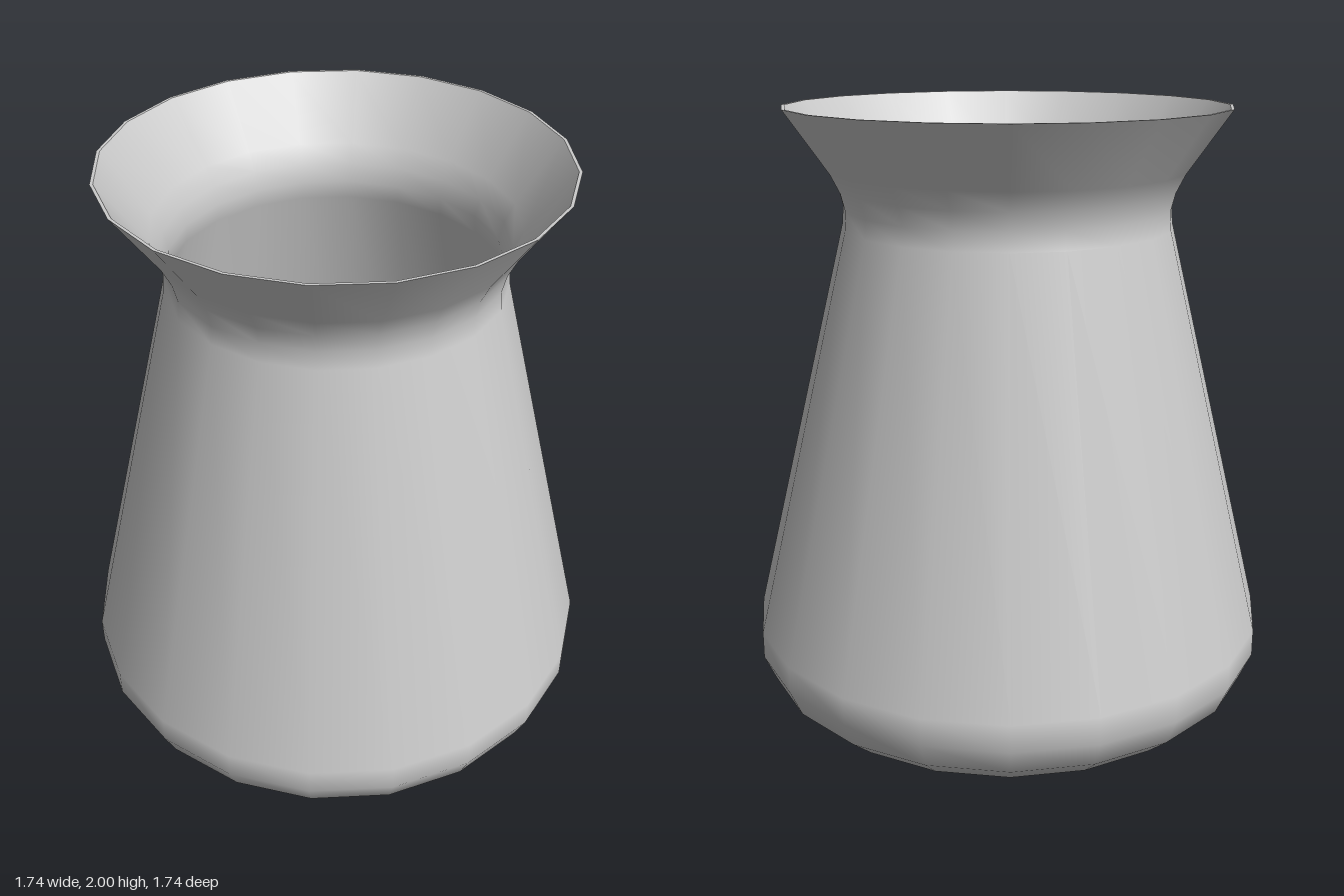
import * as THREE from 'three';

const SIDES = 20;
const WALL = 0.01;

// Outer profile [radius, height] from the foot up to the rim
const OUTER = [
  [0.64, 0], [0.75, 0.03], [0.83, 0.1], [0.87, 0.19], [0.87, 0.28],
  [0.54, 1.62], [0.535, 1.68], [0.55, 1.74], [0.58, 1.8], [0.72, 2],
];

export function createModel() {
  const vase = new THREE.Group();
  vase.name = 'vase';
  const material = new THREE.MeshStandardMaterial({ color: 0xcccccc });

  // Revolves a profile; upward profiles face out, downward ones face in
  function revolve(name, profile) {
    const points = profile.map(([r, y]) => new THREE.Vector2(r, y));
    const mesh = new THREE.Mesh(new THREE.LatheGeometry(points, SIDES), material);
    mesh.name = name;
    vase.add(mesh);
  }

  // Flat base running into the rounded foot, tapered body and flared neck
  revolve('outerWall', [[0, 0], [0.62, 0], ...OUTER]);

  // Thin lip joining outside and inside
  revolve('rim', [[0.72, 2], [0.72 - WALL, 2]]);

  // Inside follows the outside, one wall thickness in, down to the floor
  const inner = OUTER.map(([r, y]) => [r - WALL, y === 2 ? y : Math.max(y, 0.015)]).reverse();
  revolve('innerWall', [...inner, [0.61, 0.015], [0, 0.015]]);

  return vase;
}
